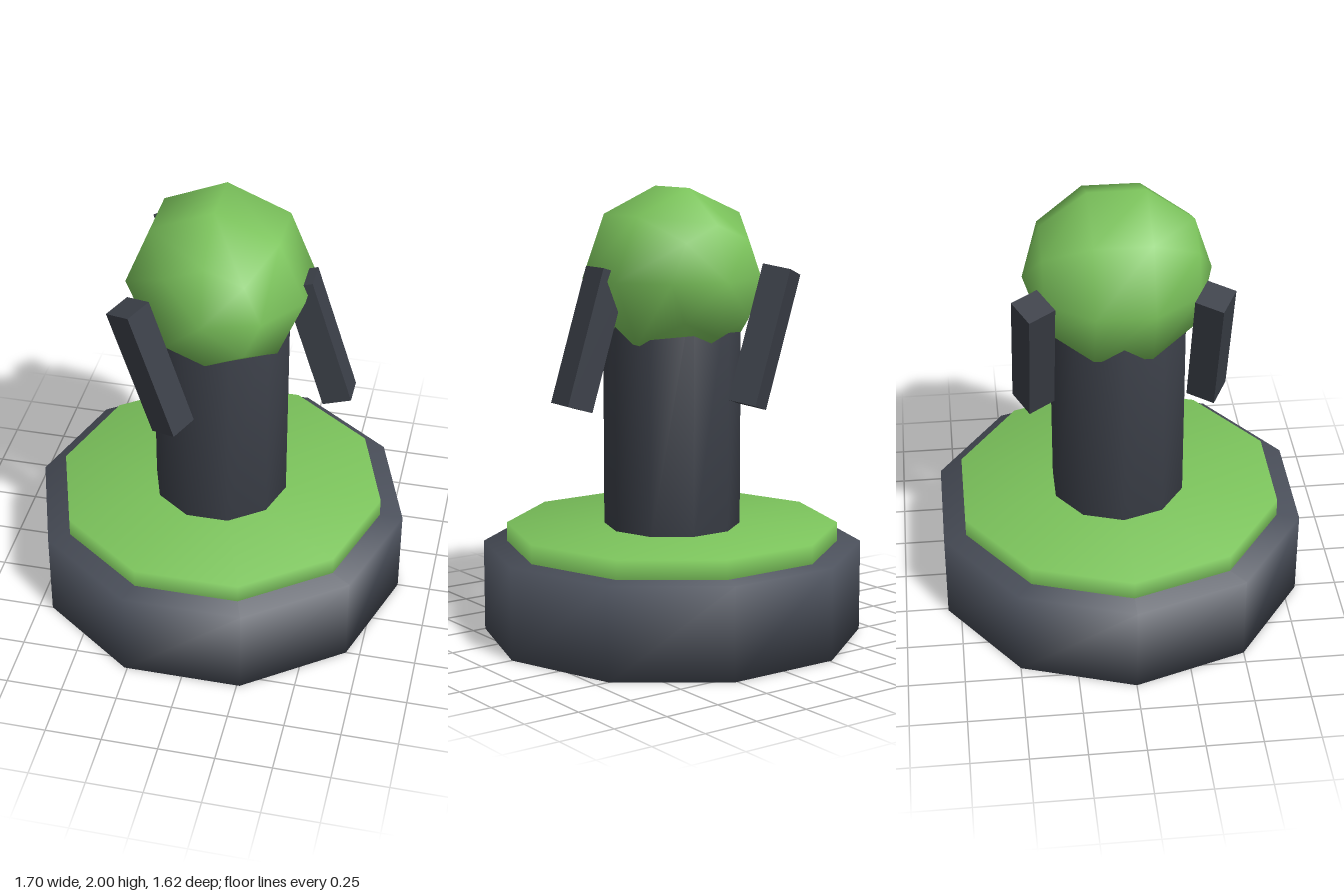
import * as THREE from 'three';
import { mergeVertices } from 'three/addons/utils/BufferGeometryUtils.js';

const material = (color) => new THREE.MeshStandardMaterial({ color });

// Weld shared corners so the shading runs smoothly over every edge
function smooth(geometry) {
  geometry.deleteAttribute('normal');
  geometry.deleteAttribute('uv');
  const welded = mergeVertices(geometry, 1e-4);
  welded.computeVertexNormals();
  return welded;
}

export function createModel() {
  const group = new THREE.Group();
  const slate = material(0x4b505b);
  const dark = material(0x3c4049);
  const green = material(0x7cc45c);

  function add(name, geometry, mat) {
    const mesh = new THREE.Mesh(geometry, mat);
    mesh.name = name;
    group.add(mesh);
    return mesh;
  }

  // Ten-sided drum with a corner pointing along x
  function drum(name, radius, bottom, top, mat) {
    const geometry = new THREE.CylinderGeometry(radius, radius, top - bottom, 10, 1, false, Math.PI / 2);
    add(name, smooth(geometry), mat).position.y = (bottom + top) / 2;
  }

  drum('base', 0.85, 0, 0.41, slate);
  drum('baseDisc', 0.745, 0.33, 0.495, green);
  drum('column', 0.305, 0.45, 1.6, dark);

  // Low-poly orb with its poles facing front and back
  const orb = new THREE.SphereGeometry(0.41, 8, 5).rotateX(Math.PI / 2);
  add('orb', smooth(orb), green).position.y = 1.61;

  // Three prongs around the orb, all leaning the same way about z
  for (let i = 0; i < 3; i++) {
    const angle = (i * Math.PI * 2) / 3;
    const prong = new THREE.BoxGeometry(0.13, 0.61, 0.135).rotateY(-angle).rotateZ(0.31);
    add('prong' + (i + 1), prong, dark).position.set(0.44 * Math.cos(angle), 1.36, 0.44 * Math.sin(angle));
  }

  return group;
}
